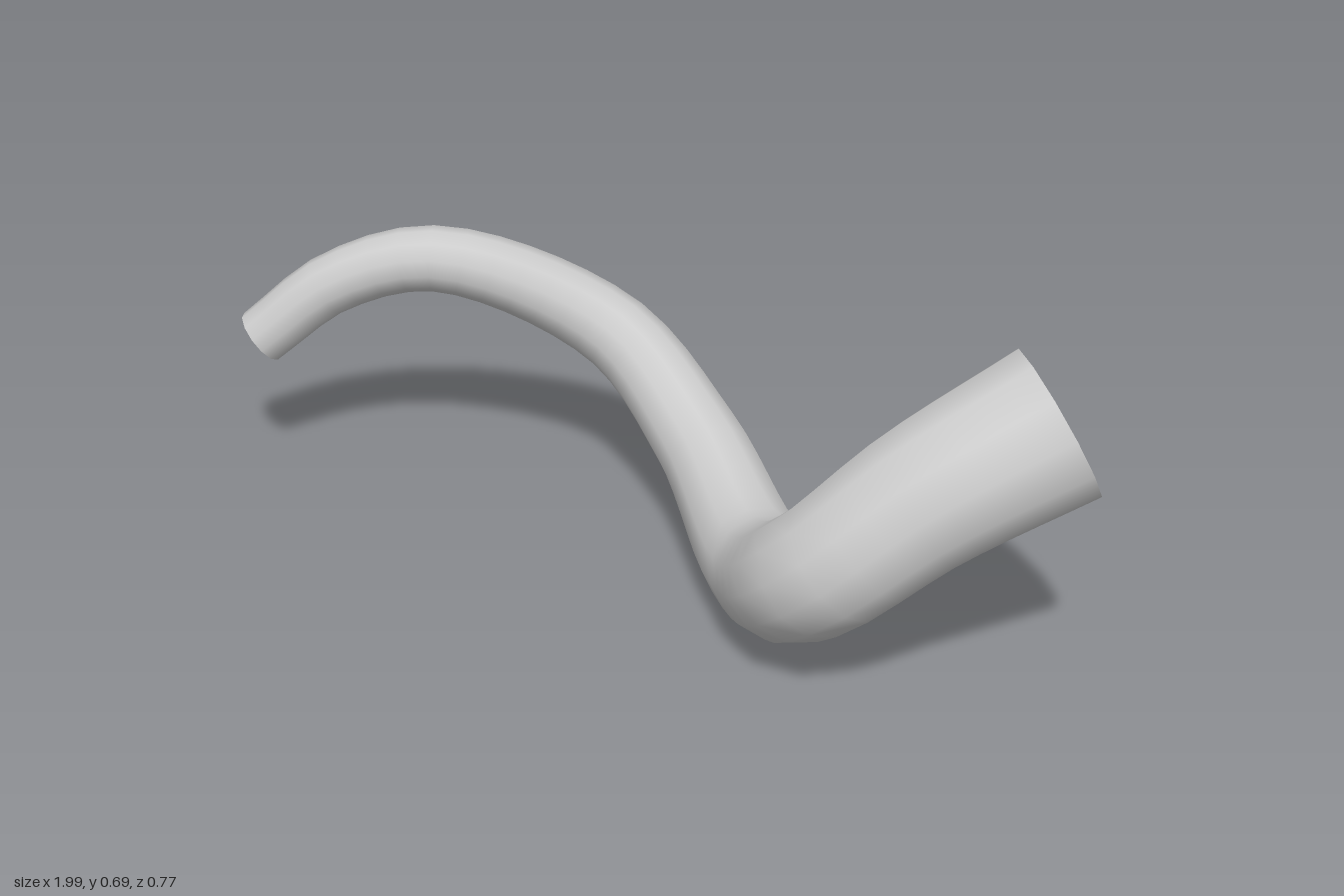
import * as THREE from 'three';

const SEGMENTS = 40, SIDES = 12;

// Tube whose rings are scaled about the centreline by radiusAt(t)
function taperedTube(curve, radiusAt) {
  const geometry = new THREE.TubeGeometry(curve, SEGMENTS, 1, SIDES, false);
  const position = geometry.attributes.position;
  const vertex = new THREE.Vector3();
  for (let i = 0; i <= SEGMENTS; i++) {
    const t = i / SEGMENTS;
    const center = curve.getPointAt(t);
    for (let j = 0; j <= SIDES; j++) {
      const k = i * (SIDES + 1) + j;
      vertex.fromBufferAttribute(position, k).sub(center).multiplyScalar(radiusAt(t)).add(center);
      position.setXYZ(k, vertex.x, vertex.y, vertex.z);
    }
  }
  return geometry;
}

export function createModel() {
  const group = new THREE.Group();
  group.name = 'curvedHorn';

  // Centreline from the narrow end to the wide end
  const path = new THREE.CatmullRomCurve3([
    [-0.945, 0.325, 0.04],
    [-0.8, 0.455, -0.05],
    [-0.6, 0.51, -0.155],
    [-0.27, 0.365, -0.305],
    [0, 0.205, -0.21],
    [0.3, 0.12, 0.06],
    [0.52, 0.265, 0.25],
    [0.7, 0.435, 0.165],
    [0.883, 0.56, -0.005],
  ].map((p) => new THREE.Vector3(...p)));

  // Open tube that flares toward the wide end
  const material = new THREE.MeshStandardMaterial({ color: 0xcccccc, side: THREE.DoubleSide });
  const tube = new THREE.Mesh(taperedTube(path, (t) => 0.062 + 0.04 * t + 0.06 * t * t), material);
  tube.name = 'taperedTube';
  group.add(tube);
  return group;
}
